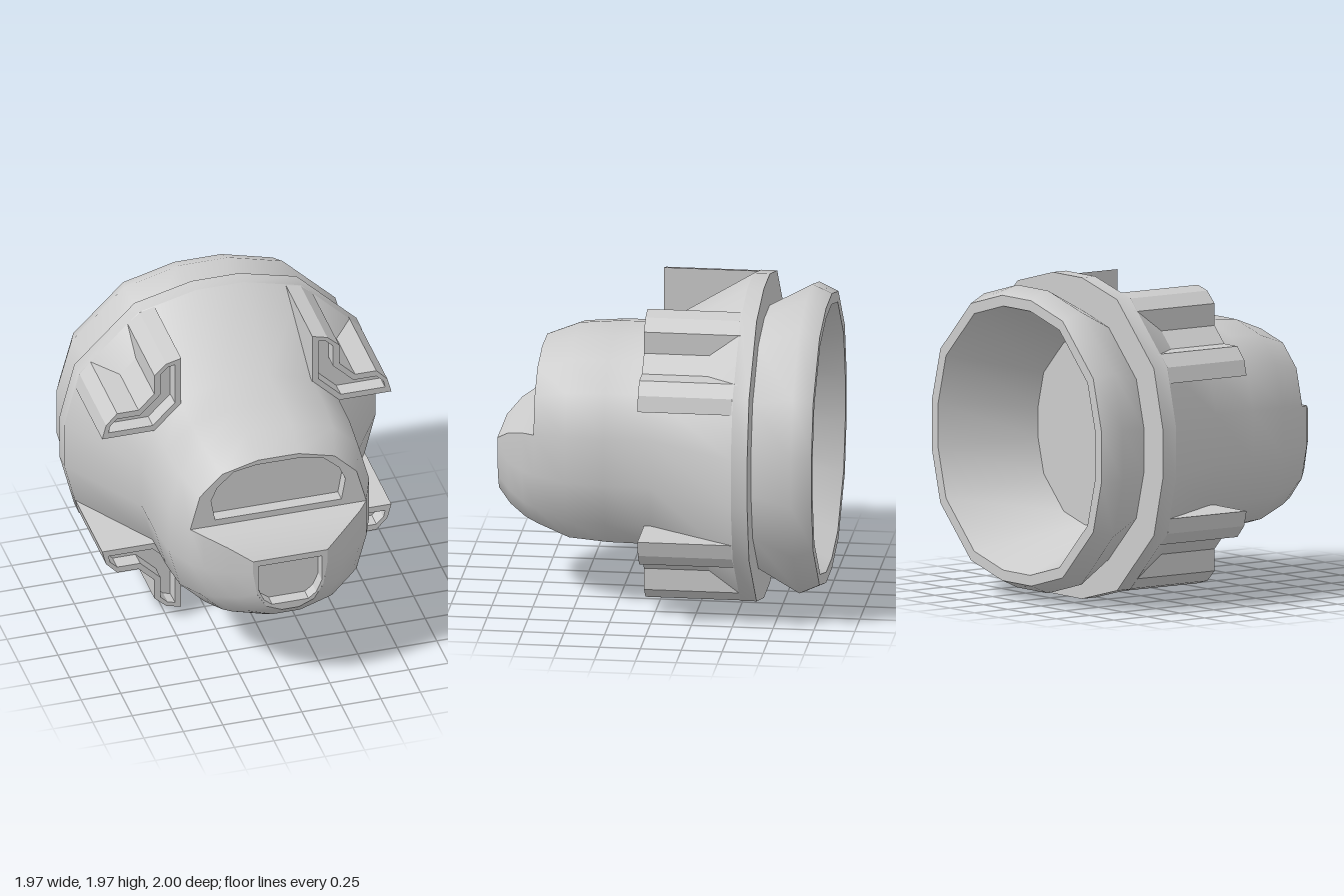
import * as THREE from 'three';
import { toCreasedNormals, mergeGeometries } from 'three/addons/utils/BufferGeometryUtils.js';

const CENTRE_Y = 0.985;

// Corner ratios (a, c, d) of the twelve-sided section: (1,a) (d,c) (c,d) (a,1)
const BODY = [0.23, 0.64, 0.89];
const FLANGE = [0.152, 0.52, 0.906];
const SOCKET = [0.17, 0.54, 0.9];

// Twelve-sided ring at z, half width w, half height h, optionally cut flat at cutY
function ring(z, w, ratios = BODY, h = w, cutY = Infinity) {
  const [a, c, d] = ratios;
  const q = [[1, a], [d, c], [c, d], [a, 1]];
  const r = [...q].reverse();
  const points = [
    ...q,
    ...r.map(([x, y]) => [-x, y]),
    ...q.map(([x, y]) => [-x, -y]),
    ...r.map(([x, y]) => [x, -y]),
  ];
  return points.map(([x, y], i) => {
    const py = i < 8 && cutY < Infinity ? cutY : y * h;
    return [x * w, py, z];
  });
}

// Skin a series of rings
function skin(rings) {
  const n = rings[0].length;
  const index = [];
  for (let i = 0; i < rings.length - 1; i++) {
    for (let j = 0; j < n; j++) {
      const k = (j + 1) % n;
      const a = i * n + j, b = i * n + k, c = b + n, d = a + n;
      index.push(a, b, c, a, c, d);
    }
  }
  const g = new THREE.BufferGeometry();
  g.setAttribute('position', new THREE.Float32BufferAttribute(rings.flat(2), 3));
  g.setIndex(index);
  return g;
}

// Join skins and shade them smoothly across their shared edges
const loft = (crease, ...sections) => toCreasedNormals(mergeGeometries(sections.map(skin)), crease);

// Points as counter-clockwise vectors
function toVectors(pts) {
  const v = pts.map(([x, y]) => new THREE.Vector2(x, y));
  return THREE.ShapeUtils.isClockWise(v) ? v.reverse() : v;
}

const mirrored = (half) => [...half, ...[...half].reverse().map(([x, y]) => [-x, y])];
const diagonal = (half) => [...half, ...[...half].reverse().map(([x, y]) => [y, x])];

// Prism from back to front with a pocket sunk into its front face
function pocketBlock(outline, pocket, back, front, depth) {
  const rim = new THREE.Shape(toVectors(outline));
  rim.holes.push(new THREE.Path(toVectors(pocket).reverse()));
  const rimGeo = new THREE.ExtrudeGeometry(rim, { depth, bevelEnabled: false });
  rimGeo.translate(0, 0, front - depth);
  const solid = new THREE.ExtrudeGeometry(new THREE.Shape(toVectors(outline)), {
    depth: front - depth - back, bevelEnabled: false,
  });
  solid.translate(0, 0, back);
  return mergeGeometries([rimGeo, solid]);
}

export function createModel() {
  const group = new THREE.Group();
  const material = new THREE.MeshStandardMaterial({ color: 0xcccccc });
  const add = (name, geometry) => {
    const mesh = new THREE.Mesh(geometry, material);
    mesh.name = name;
    mesh.position.y = CENTRE_Y;
    group.add(mesh);
  };

  // Hollow rear socket, from the inner floor round the rim to the waist
  add('rearSocket', loft(1.05, [
    [-0.42, 0], [-0.42, 0.575], [-1, 0.81], [-1, 0.875], [-0.88, 0.928], [-0.62, 0.79],
  ].map(([z, r]) => ring(z, r, SOCKET))));

  // Flange plate
  add('flange', loft(0.9, [
    [-0.62, 0.7], [-0.62, 0.985], [-0.52, 0.985],
  ].map(([z, r]) => ring(z, r, FLANGE))));

  // Flared body up to the step, then the lower nose cut by a curved shelf
  const bodyRings = [
    ring(-0.52, 0.985, FLANGE),
    ...[[0.02, 0.655], [0.3, 0.652], [0.54, 0.633], [0.74, 0.557]].map(([z, r]) => ring(z, r)),
  ];
  // z, half width, half height, shelf height
  const noseRings = [
    [0.74, 0.557, 0.557, 0.128],
    [0.82, 0.495, 0.525, 0.12],
    [0.92, 0.37, 0.465, 0.075],
    [1, 0.235, 0.385, 0],
  ].map(([z, w, h, cut]) => ring(z, w, BODY, h, cut));
  add('body', loft(0.8, bodyRings, noseRings));

  // Step face above the shelf, with its pocket
  const stepOuter = mirrored([[0.557, 0.128], [0.496, 0.356], [0.356, 0.496], [0.128, 0.557]]);
  const stepPocket = mirrored([[0.4, 0.17], [0.425, 0.315], [0.385, 0.405], [0.28, 0.5], [0.14, 0.525]]);
  add('stepFace', pocketBlock(stepOuter, stepPocket, 0.6, 0.74, 0.08));

  // Nose face with its pocket
  const noseOuter = mirrored([[0.235, 0], [0.235, -0.089], [0.209, -0.246], [0.15, -0.343], [0.054, -0.385]]);
  const nosePocket = mirrored([[0.2, -0.04], [0.2, -0.215], [0.165, -0.295], [0.115, -0.335]]);
  add('noseFace', pocketBlock(noseOuter, nosePocket, 0.85, 1, 0.08));

  // Four angled corner brackets, each symmetric about its diagonal
  const bracketOuter = diagonal([[0.415, 0.58], [0.415, 0.915], [0.51, 0.89], [0.585, 0.82], [0.585, 0.685]]);
  const bracketPocket = diagonal([[0.455, 0.595], [0.455, 0.875], [0.5, 0.865], [0.545, 0.82], [0.545, 0.675]]);
  for (const [side, sx] of [['Left', 1], ['Right', -1]]) {
    for (const [level, sy] of [['upper', 1], ['lower', -1]]) {
      const place = (pts) => pts.map(([x, y]) => [x * sx, y * sy]);
      add(`${level}${side}Bracket`, pocketBlock(place(bracketOuter), place(bracketPocket), -0.54, 0.06, 0.1));
    }
  }
  return group;
}
